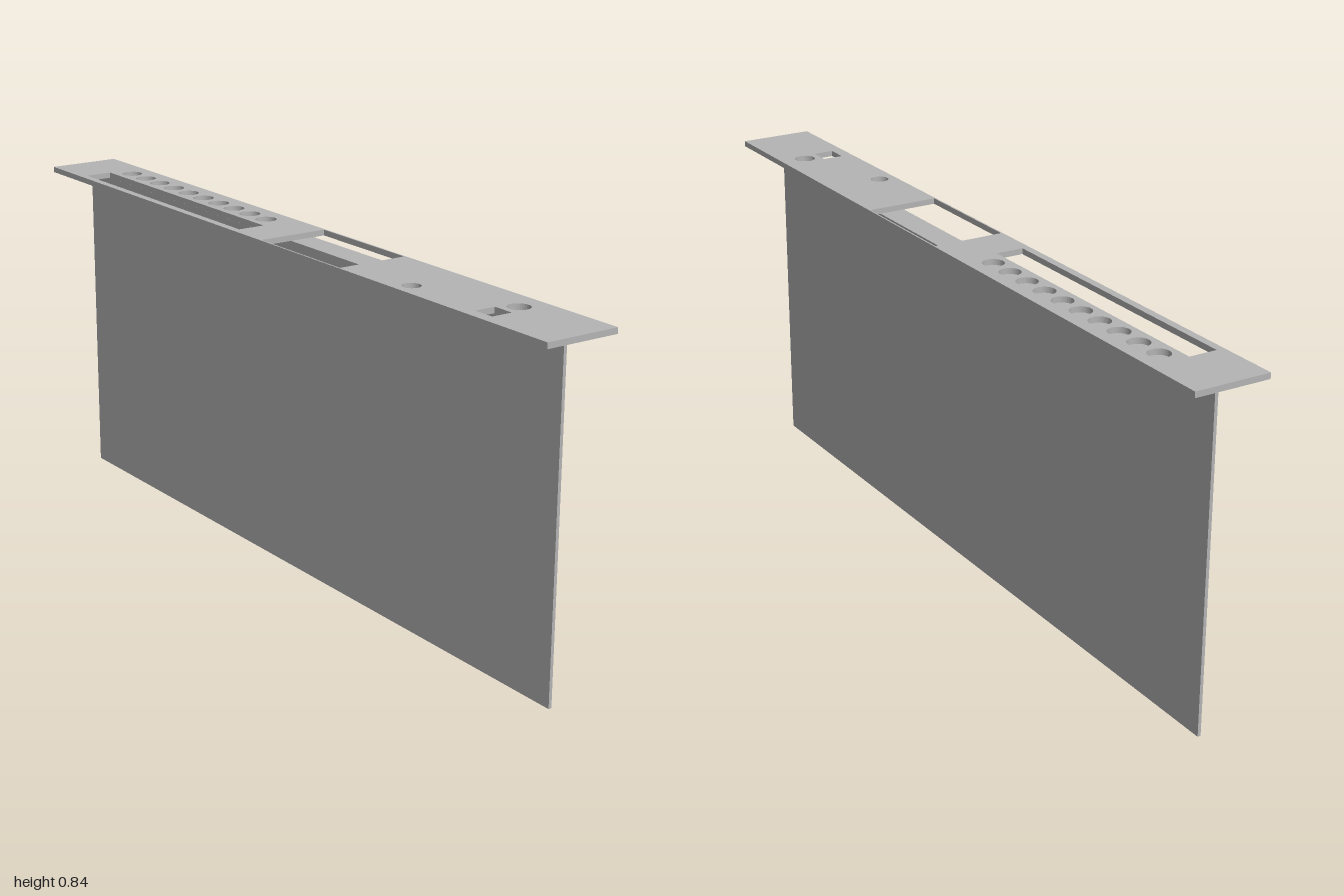
import * as THREE from 'three';

export function createModel() {
  const model = new THREE.Group();
  model.name = 'slottedTopPanel';
  const grey = new THREE.MeshStandardMaterial({ color: 0xb4b4b4 });
  grey.name = 'plain grey';

  const add = (name, geometry) => {
    const mesh = new THREE.Mesh(geometry, grey);
    mesh.name = name;
    model.add(mesh);
  };
  const box = (name, x0, x1, y0, y1, z0, z1) => {
    const g = new THREE.BoxGeometry(x1 - x0, y1 - y0, z1 - z0);
    g.translate((x0 + x1) / 2, (y0 + y1) / 2, (z0 + z1) / 2);
    add(name, g);
  };

  // Outlines are drawn flat in x and z, then laid down
  const rect = (path, x0, x1, z0, z1) => {
    path.moveTo(x0, -z1);
    path.lineTo(x1, -z1);
    path.lineTo(x1, -z0);
    path.lineTo(x0, -z0);
    path.closePath();
    return path;
  };
  const plate = rect(new THREE.Shape(), -0.093, 0.093, -1, 1);
  const rectHole = (...r) => plate.holes.push(rect(new THREE.Path(), ...r));
  const roundHole = (x, z, r) =>
    plate.holes.push(new THREE.Path().absarc(x, -z, r, 0, Math.PI * 2, true));

  // Long slot, centre window and small square opening
  rectHole(-0.074, -0.005, -0.85, -0.12);
  rectHole(-0.089, 0.089, -0.003, 0.307);
  rectHole(-0.064, -0.012, 0.744, 0.798);
  // Row of ten round holes, plus two single ones
  for (let i = 0; i < 10; i++) roundHole(0.036, -0.804 + i * 0.0704, 0.026);
  roundHole(-0.051, 0.515, 0.022);
  roundHole(0.029, 0.773, 0.026);

  const plateGeometry = new THREE.ExtrudeGeometry(plate, {
    depth: 0.014, bevelEnabled: false, curveSegments: 16,
  });
  plateGeometry.rotateX(-Math.PI / 2);
  plateGeometry.translate(0, 0.822, 0);
  add('topPlate', plateGeometry);

  // Upright sheet and the narrow flange under the plate
  box('uprightPanel', -0.004, 0.004, 0, 0.8215, -0.95, 0.95);
  box('supportFlange', 0.004, 0.061, 0.813, 0.8215, -0.95, 0.95);
  return model;
}
